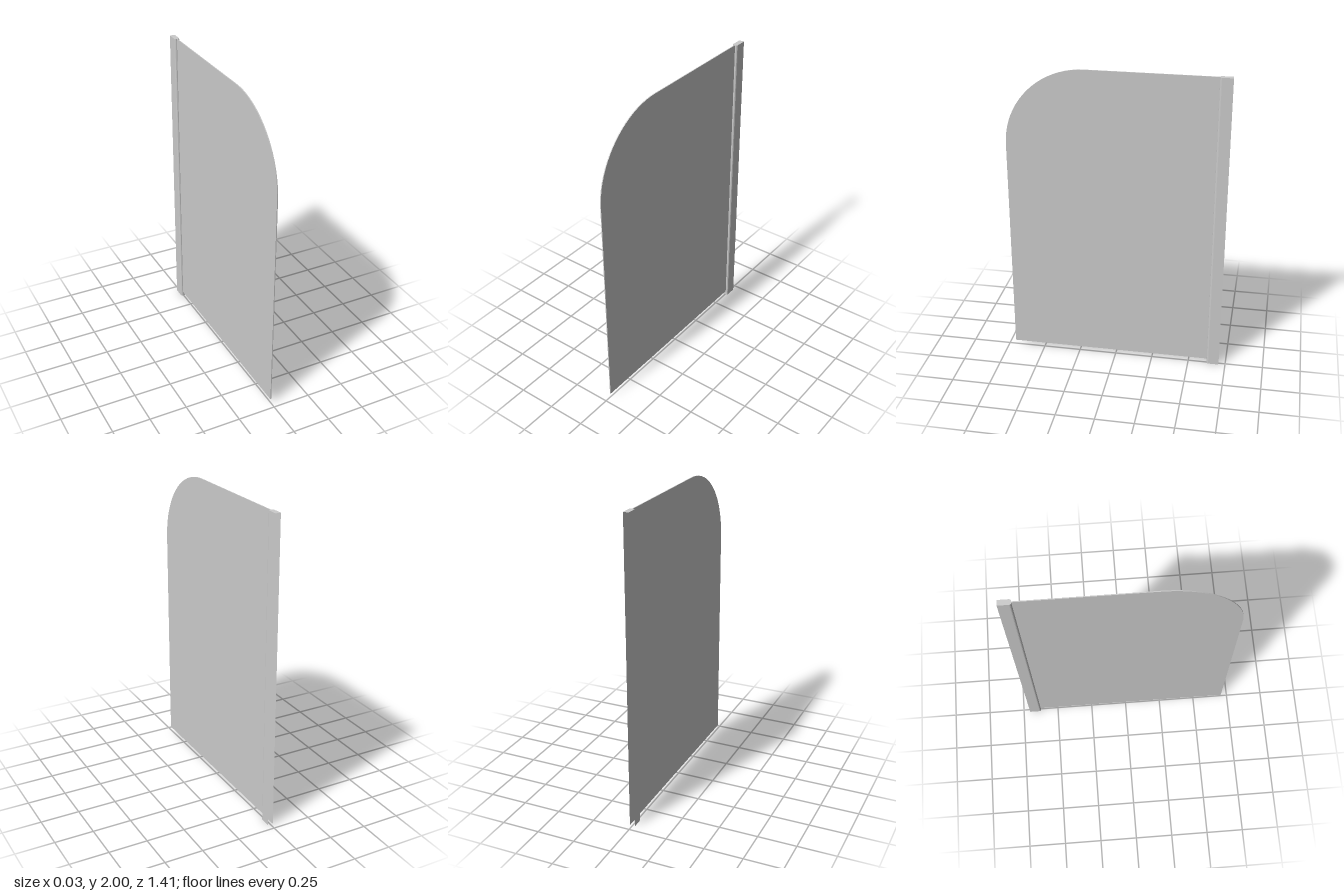
import * as THREE from 'three';

const material = new THREE.MeshStandardMaterial({ color: 0xcccccc, flatShading: true, side: THREE.DoubleSide });
const HEIGHT = 2, BACK = -0.705, FRONT = -0.625, HALF = 0.017;

// Flat glass sheet with one large rounded upper corner, drawn in (z, y)
function createPanel() {
  const thickness = 0.006, radius = 0.51, end = 0.705, bottom = 0.03;
  const s = new THREE.Shape();
  s.moveTo(FRONT, bottom);
  s.lineTo(end, bottom);
  s.lineTo(end, HEIGHT - radius);
  s.absarc(end - radius, HEIGHT - radius, radius, 0, Math.PI / 2, false);
  s.lineTo(FRONT, HEIGHT);
  s.closePath();
  const g = new THREE.ExtrudeGeometry(s, { depth: thickness, bevelEnabled: false, curveSegments: 10 });
  g.translate(0, 0, -thickness / 2);
  g.rotateY(-Math.PI / 2); // shape x becomes +z
  const mesh = new THREE.Mesh(g, material);
  mesh.name = 'screenPanel';
  return mesh;
}

// Half of the wall channel outline as (x, z), from the open back to the rounded nose
function channelOutline() {
  const r = 0.012, half = [[HALF, BACK]];
  for (let i = 0; i <= 4; i++) {
    const a = (i / 4) * Math.PI / 2;
    half.push([HALF - r + r * Math.cos(a), FRONT - r + r * Math.sin(a)]);
  }
  return [...half, ...half.map(([x, z]) => [-x, z]).reverse()];
}

// Thin channel walls, open toward the wall behind
function createChannelWalls(outline) {
  const positions = [], index = [];
  outline.forEach(([x, z], i) => {
    positions.push(x, 0, z, x, HEIGHT, z);
    if (i === 0) return;
    const a = 2 * (i - 1), b = 2 * i;
    index.push(a, a + 1, b, b, a + 1, b + 1);
  });
  const g = new THREE.BufferGeometry();
  g.setAttribute('position', new THREE.Float32BufferAttribute(positions, 3));
  g.setIndex(index);
  g.computeVertexNormals();
  const mesh = new THREE.Mesh(g, material);
  mesh.name = 'channelWalls';
  return mesh;
}

// Cap closing the top of the channel
function createChannelCap(outline) {
  const s = new THREE.Shape(outline.map(([x, z]) => new THREE.Vector2(x, -z)));
  const g = new THREE.ShapeGeometry(s);
  g.rotateX(-Math.PI / 2);
  const mesh = new THREE.Mesh(g, material);
  mesh.position.y = HEIGHT;
  mesh.name = 'channelCap';
  return mesh;
}

export function createModel() {
  const model = new THREE.Group();
  model.name = 'showerScreen';
  const channel = new THREE.Group();
  channel.name = 'wallChannel';
  const outline = channelOutline();
  channel.add(createChannelWalls(outline), createChannelCap(outline));
  model.add(createPanel(), channel);
  return model;
}
